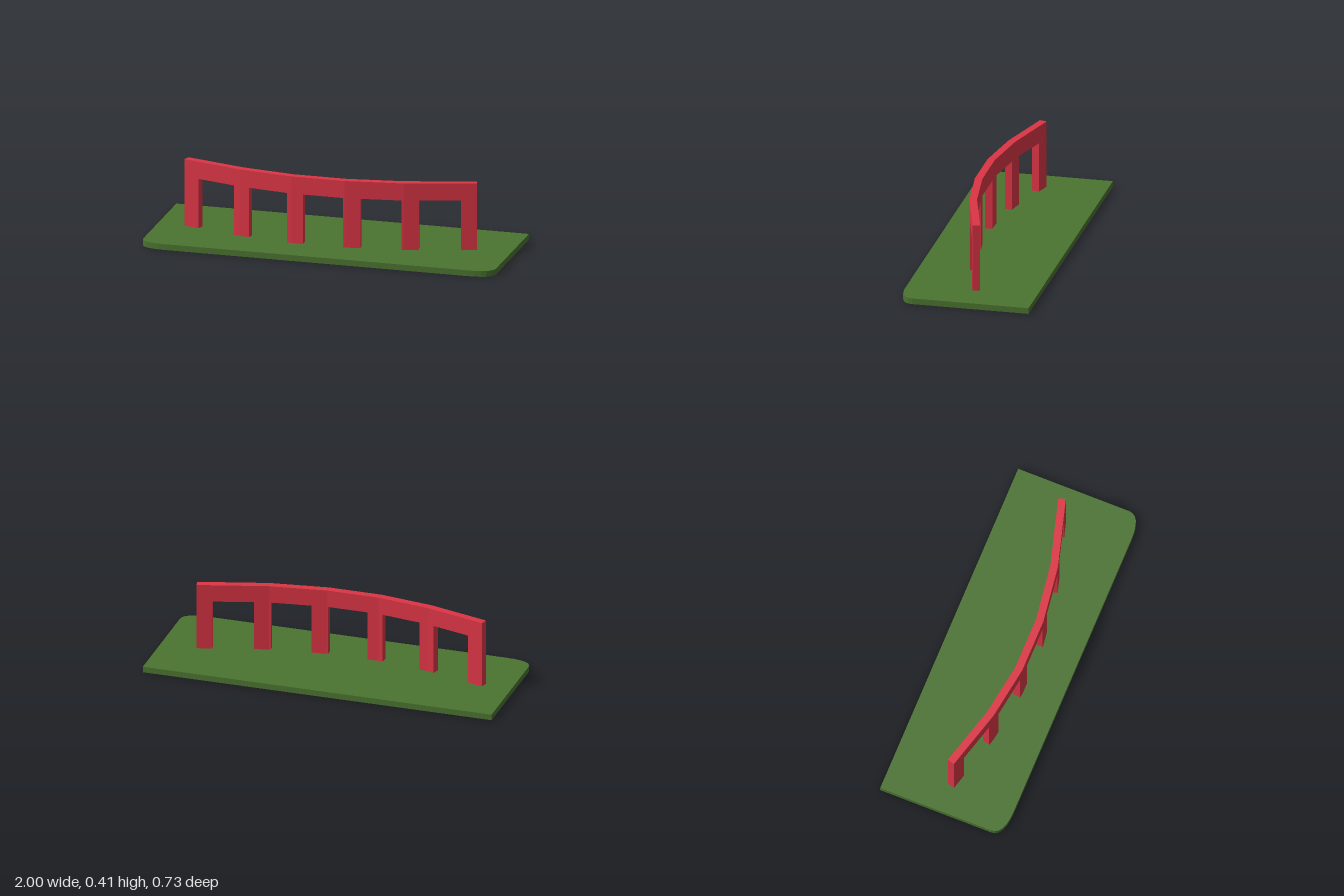
import * as THREE from 'three';

const RED = new THREE.MeshStandardMaterial({ color: 0xdc3545, flatShading: true });
const GREEN = new THREE.MeshStandardMaterial({ color: 0x4a7330, flatShading: true });
const BASE_TOP = 0.033, BEAM_BOTTOM = 0.315, BEAM_TOP = 0.413;
const HALF_THICKNESS = 0.021;

// Centre line of the curved arcade in plan, as [x, z]
const LINE = [[-0.842, -0.011], [-0.5, 0.084], [-0.2, 0.129], [0.1, 0.129], [0.42, 0.084], [0.801, -0.024]];

function centreZ(x) {
  let i = 0;
  while (i < LINE.length - 2 && x > LINE[i + 1][0]) i++;
  const [x0, z0] = LINE[i], [x1, z1] = LINE[i + 1];
  return z0 + (z1 - z0) * (x - x0) / (x1 - x0);
}

// Point on one face of the wall, offset square to the centre line
function facePoint(x, side) {
  const slope = (centreZ(x + 0.01) - centreZ(x - 0.01)) / 0.02;
  const d = side * HALF_THICKNESS / Math.hypot(1, slope);
  return new THREE.Vector2(x - slope * d, centreZ(x) + d);
}

// Extrude a plan outline (x, z) upwards from y0 to y1
function extrudePlan(shape, y0, y1, material, name) {
  const geometry = new THREE.ExtrudeGeometry(shape, { depth: y1 - y0, bevelEnabled: false, curveSegments: 6 });
  geometry.rotateX(Math.PI / 2).translate(0, y1, 0);
  const mesh = new THREE.Mesh(geometry, material);
  mesh.name = name;
  return mesh;
}

// Piece of the curved wall between two x positions
function wallPiece(x0, x1, y0, y1, name) {
  const bends = LINE.map(p => p[0]).filter(x => x > x0 + 0.005 && x < x1 - 0.005);
  const xs = [x0, ...bends, x1];
  const outline = [...xs.map(x => facePoint(x, -1)), ...xs.reverse().map(x => facePoint(x, 1))];
  return extrudePlan(new THREE.Shape(outline), y0, y1, RED, name);
}

export function createModel() {
  const group = new THREE.Group();
  group.name = 'curvedArcade';

  // Ground slab with rounded front corners
  const plan = new THREE.Shape();
  plan.moveTo(-1, -0.363);
  plan.lineTo(1, -0.363);
  plan.lineTo(1, 0.29);
  plan.quadraticCurveTo(1, 0.363, 0.85, 0.363);
  plan.lineTo(-0.85, 0.363);
  plan.quadraticCurveTo(-1, 0.363, -1, 0.29);
  plan.closePath();
  group.add(extrudePlan(plan, 0, BASE_TOP, GREEN, 'base'));

  // Continuous top beam
  const first = LINE[0][0], last = LINE[LINE.length - 1][0];
  group.add(wallPiece(first, last, BEAM_BOTTOM, BEAM_TOP, 'beam'));

  // Pillars: one at each end, four between
  const pillars = [[first, -0.756], [-0.538, -0.449], [-0.224, -0.135], [0.092, 0.184], [0.408, 0.499], [0.717, last]];
  pillars.forEach(([x0, x1], i) => group.add(wallPiece(x0, x1, BASE_TOP, BEAM_BOTTOM, `pillar${i + 1}`)));

  return group;
}
